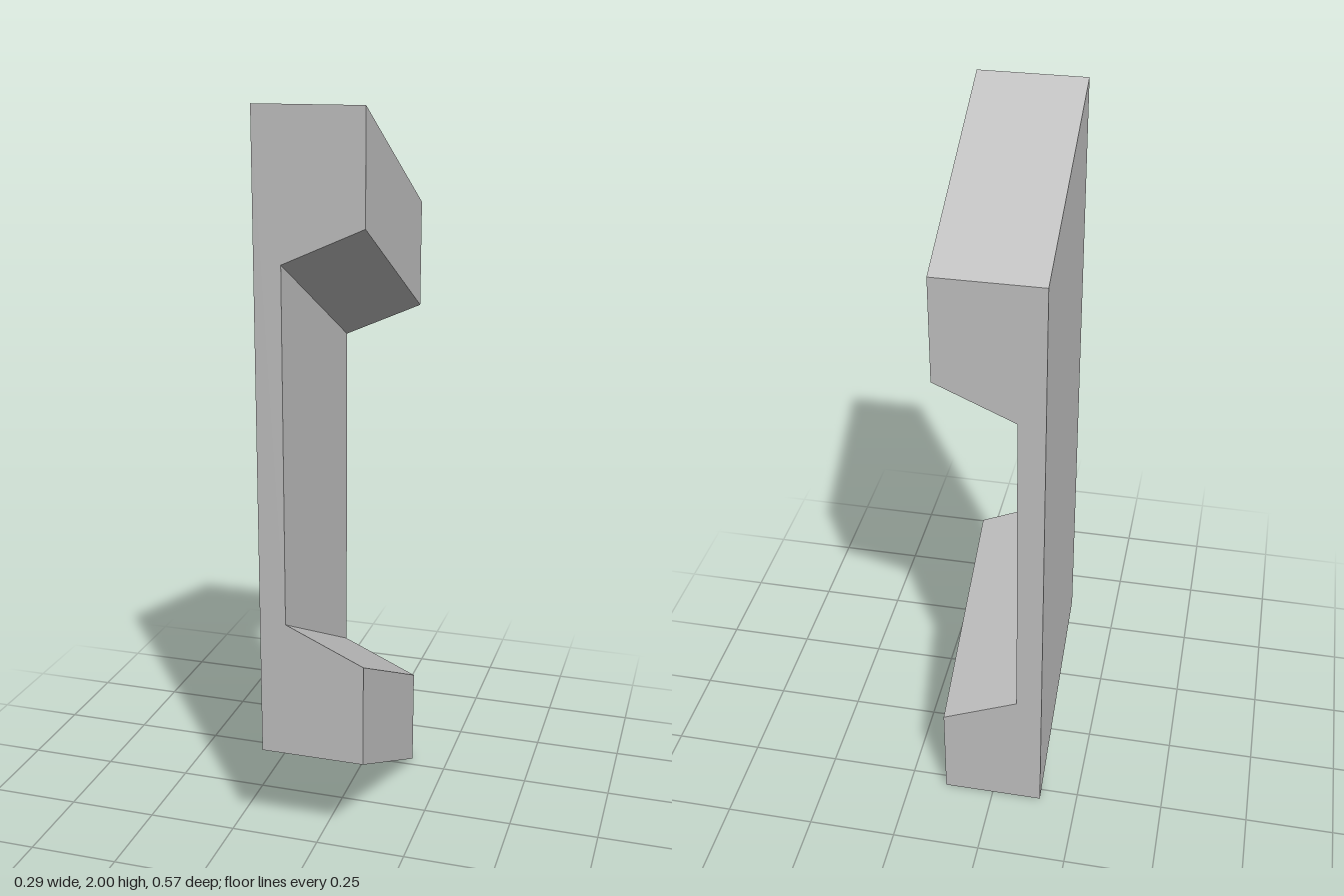
import * as THREE from 'three';

export function createModel() {
  const group = new THREE.Group();
  group.name = 'slantedBracket';

  const grey = new THREE.MeshStandardMaterial({ color: 0xc0c0c0 });
  grey.name = 'light grey';

  // C-shaped front profile: a thin back plate with a tapered block at each end
  const w = 1 / 7, depth = 4 / 7;
  const profile = new THREE.Shape([
    [-w, 2 / 7], [w, 2 / 7], [w, 4 / 7], [-w / 2, 2 / 3],
    [-w / 2, 34 / 21], [w, 12 / 7], [w, 2], [-w, 2],
  ].map(([x, y]) => new THREE.Vector2(x, y)));

  const geometry = new THREE.ExtrudeGeometry(profile, { depth, bevelEnabled: false });
  geometry.translate(0, 0, -depth / 2);

  // Slope the body: it drops half a unit per unit towards the back
  const p = geometry.attributes.position;
  for (let i = 0; i < p.count; i++) {
    p.setY(i, p.getY(i) + 0.5 * (p.getZ(i) - depth / 2));
  }
  geometry.computeVertexNormals();

  const body = new THREE.Mesh(geometry, grey);
  body.name = 'bracketBody';
  group.add(body);
  return group;
}
